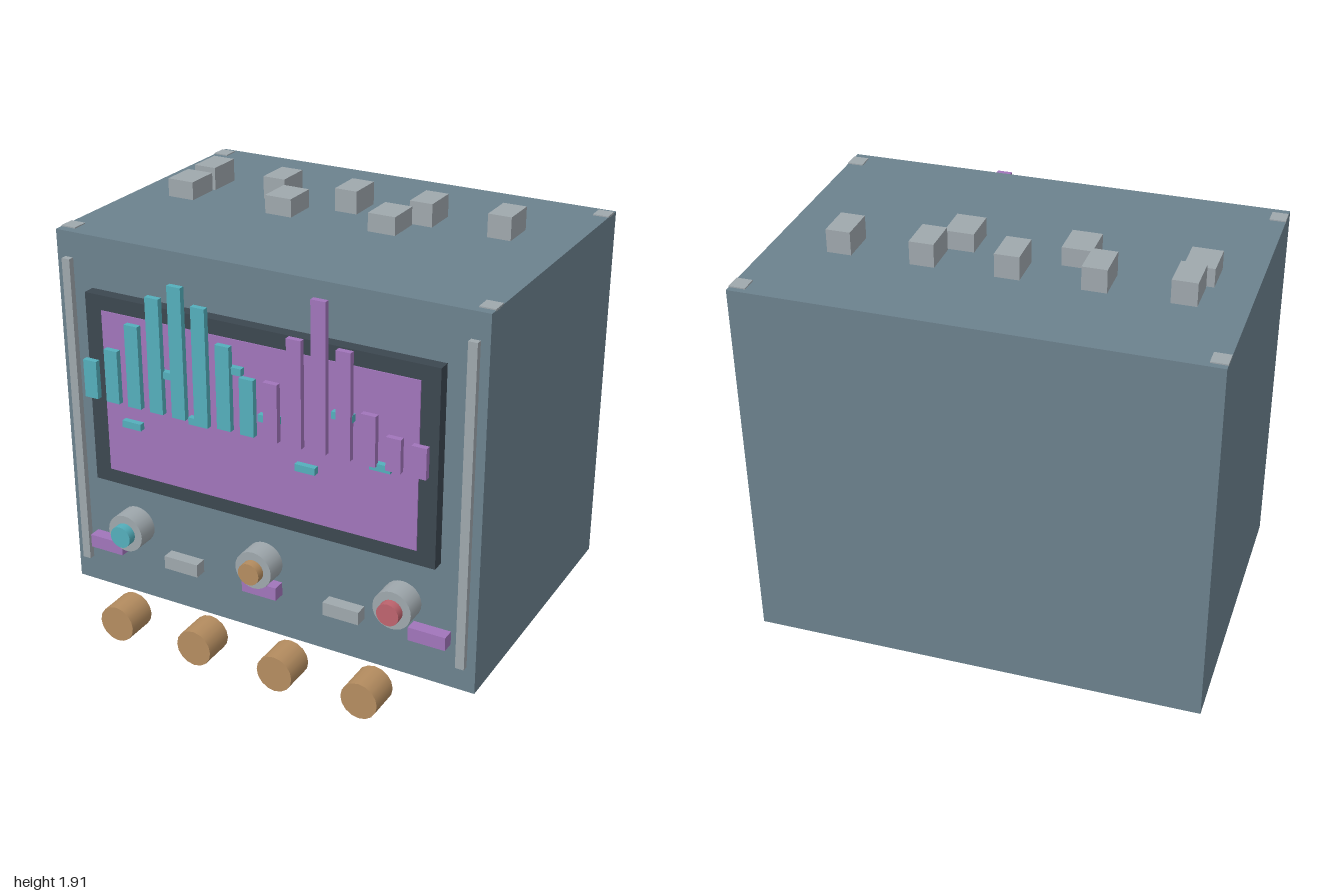
import * as THREE from 'three';

const mat = (name, color) => {
  const m = new THREE.MeshStandardMaterial({ color });
  m.name = name;
  return m;
};

export function createModel() {
  const slate = mat('slate', 0x6c828e);
  const dark = mat('charcoal', 0x3c4750);
  const purple = mat('purple', 0xa175bb);
  const teal = mat('teal', 0x54afbc);
  const tan = mat('tan', 0xb58d60);
  const red = mat('red', 0xbe646e);
  const grey = mat('grey', 0x9fa8ad);

  const model = new THREE.Group();
  model.name = 'synthConsole';

  // Box given by its min and max on each axis
  const box = (name, material, [x0, x1], [y0, y1], [z0, z1]) => {
    const mesh = new THREE.Mesh(new THREE.BoxGeometry(x1 - x0, y1 - y0, z1 - z0), material);
    mesh.position.set((x0 + x1) / 2, (y0 + y1) / 2, (z0 + z1) / 2);
    mesh.name = name;
    model.add(mesh);
  };
  const span = (c, w) => [c - w / 2, c + w / 2];

  // Cylinder lying along z
  const disc = (name, material, x, y, r, z0, z1, sides) => {
    const geo = new THREE.CylinderGeometry(r, r, z1 - z0, sides).rotateX(Math.PI / 2);
    const mesh = new THREE.Mesh(geo, material);
    mesh.position.set(x, y, (z0 + z1) / 2);
    mesh.name = name;
    model.add(mesh);
  };

  // Cabinet, screen frame and screen
  box('cabinet', slate, [-1, 1], [0.11, 1.805], [-0.8, 0.555]);
  box('screenFrame', dark, [-0.828, 0.828], [0.687, 1.57], [0.55, 0.61]);
  box('screen', purple, [-0.746, 0.746], [0.754, 1.503], [0.607, 0.615]);

  // Equalizer bars: teal on the right half, purple on the left
  const tops = [1.281, 1.35, 1.484, 1.628, 1.698, 1.628, 1.484, 1.361,
    1.366, 1.58, 1.765, 1.575, 1.329, 1.254, 1.243];
  tops.forEach((top, i) => {
    box('equalizerBar', i < 8 ? teal : purple, span(-0.79 + i * 0.1112, 0.066), [1.107, top], [0.634, 0.66]);
  });

  // Small chips floating over the screen
  const chipY = [1.01, 1.285, 1.102, 1.377, 1.194];
  for (let i = 0; i < 8; i++) {
    box('screenChip', teal, span(-0.6 + i * 0.17, 0.094), span(chipY[i % 5], 0.032), [0.618, 0.645]);
  }

  // Knobs with coloured caps
  [teal, tan, red].forEach((cap, i) => {
    const x = (i - 1) * 0.66;
    disc('knob', grey, x, 0.468, 0.088, 0.555, 0.655, 24);
    disc('knobCap', cap, x, 0.468, 0.051, 0.645, 0.695, 20);
  });

  // Row of buttons
  for (let i = 0; i < 5; i++) {
    box('button', i % 2 ? grey : purple, span((i - 2) * 0.4, 0.17), [0.318, 0.38], [0.55, 0.612]);
  }

  // Side rails and top corner plates
  for (const s of [-1, 1]) {
    box('rail', grey, span(s * 0.94, 0.04), [0.23, 1.69], [0.55, 0.583]);
    for (const z of [-0.738, 0.48]) {
      box('cornerPlate', grey, span(s * 0.965, 0.07), [1.8, 1.81], span(z, 0.073));
    }
  }

  // Blocks on the top, in two rows
  for (let i = 0; i < 5; i++) {
    box('rearTopBlock', grey, span(-0.745 + i * 0.36, 0.106), [1.8, 1.908], [-0.383, -0.22]);
  }
  for (let i = 0; i < 3; i++) {
    box('frontTopBlock', grey, span(-0.765 + i * 0.5, 0.128), [1.8, 1.887], [-0.21, -0.048]);
  }

  // Row of round feet in front
  for (let i = 0; i < 4; i++) {
    disc('foot', tan, -0.628 + i * 0.405, 0.086, 0.085, 0.653, 0.8, 16);
  }

  return model;
}
